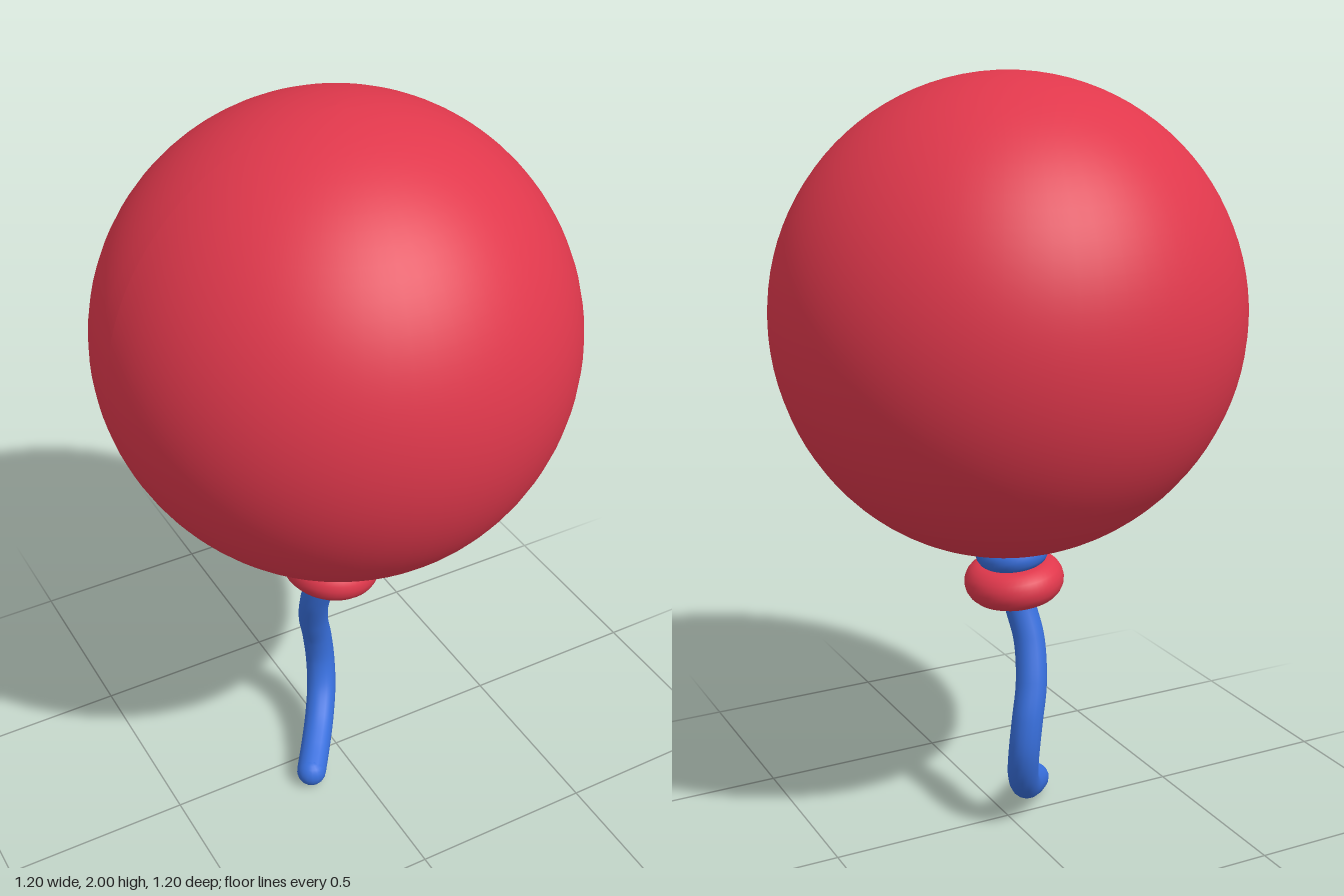
import * as THREE from 'three';

const red = new THREE.MeshStandardMaterial({ color: 0xe0384c });
red.name = 'balloon red';
const blue = new THREE.MeshStandardMaterial({ color: 0x386fdc });
blue.name = 'string blue';

function addMesh(parent, name, geometry, material, x = 0, y = 0, z = 0) {
  const mesh = new THREE.Mesh(geometry, material);
  mesh.name = name;
  mesh.position.set(x, y, z);
  parent.add(mesh);
  return mesh;
}

export function createModel() {
  const group = new THREE.Group();
  group.name = 'balloon';

  // Inflated body: a sphere drawn slightly towards the neck at the bottom
  const body = new THREE.SphereGeometry(0.598, 64, 48);
  const p = body.attributes.position;
  for (let i = 0; i < p.count; i++) {
    const t = Math.max(0, -p.getY(i) / 0.598);
    p.setY(i, p.getY(i) - 0.012 * t * t);
    p.setX(i, p.getX(i) + 0.012 * t * t);
  }
  body.computeVertexNormals();
  addMesh(group, 'body', body, red, 0, 1.402, 0);

  // Tilted neck: tied blue band, rolled red lip and the core joining them
  const neck = new THREE.Group();
  neck.name = 'neck';
  neck.position.set(-0.018, 0.695, 0);
  neck.rotation.z = -0.12;
  group.add(neck);

  const core = [[0.001, 0.01], [0.06, 0.01], [0.07, 0.05], [0.065, 0.14]];
  const coreGeometry = new THREE.LatheGeometry(core.map(([r, y]) => new THREE.Vector2(r, y)), 32);
  addMesh(neck, 'neckCore', coreGeometry, red);

  const lip = addMesh(neck, 'rolledLip', new THREE.TorusGeometry(0.078, 0.052, 20, 48), red);
  lip.rotation.x = Math.PI / 2;
  lip.scale.set(1, 1.06, 1);

  const band = addMesh(neck, 'tiedBand', new THREE.TorusGeometry(0.066, 0.03, 16, 48), blue, -0.003, 0.08, 0);
  band.rotation.x = Math.PI / 2;
  band.scale.set(1, 1.03, 1.15);

  // Hanging string with rounded ends
  const path = new THREE.CatmullRomCurve3([
    [-0.012, 0.72, 0], [-0.025, 0.63, -0.02], [-0.036, 0.54, -0.052],
    [-0.022, 0.43, -0.092], [0, 0.34, -0.113], [0.009, 0.25, -0.112],
    [-0.003, 0.17, -0.083], [-0.04, 0.107, -0.028], [-0.09, 0.068, 0.04],
    [-0.133, 0.046, 0.097],
  ].map((v) => new THREE.Vector3(...v)));
  addMesh(group, 'string', new THREE.TubeGeometry(path, 80, 0.041, 16), blue);
  for (const t of [0, 1]) {
    const end = path.getPoint(t);
    addMesh(group, 'stringEnd', new THREE.SphereGeometry(0.041, 16, 12), blue, end.x, end.y, end.z);
  }

  return group;
}
